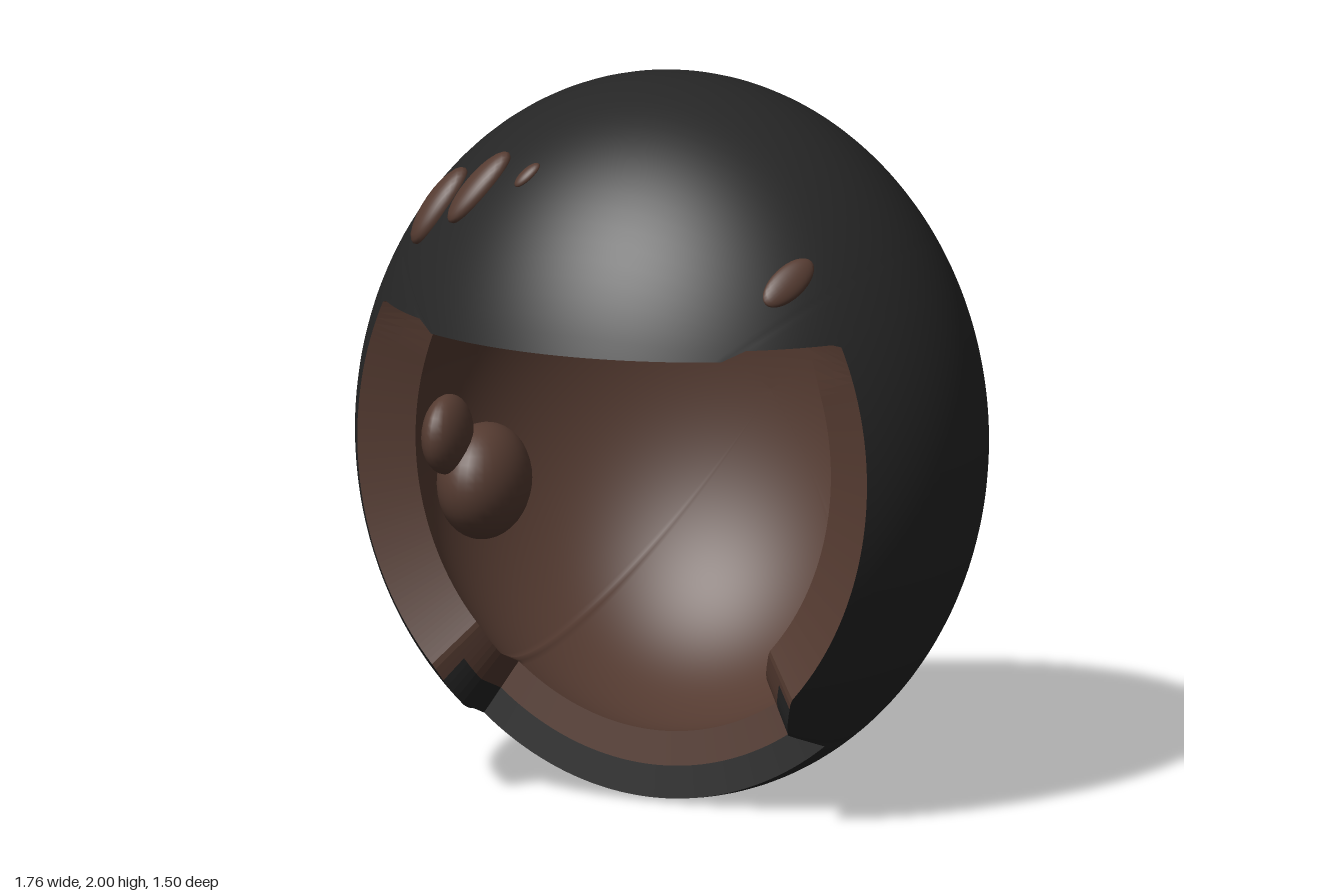
import * as THREE from 'three';

const R = new THREE.Vector3(0.88, 1, 0.777);   // shell radii
const C = new THREE.Vector3(0, 1, 0.027);      // shell centre
const N = 320, ROWS = 48;
const MID = 0.91, INNER = 0.815;               // wall layers, as fractions of the shell

// unit-sphere direction, theta measured from the front
const dir = (t, p) => new THREE.Vector3(Math.sin(t) * Math.cos(p), Math.sin(t) * Math.sin(p), Math.cos(t));
const place = (u) => u.clone().multiply(R).add(C);

// is this point of the shell inside the face opening?
function isOpen(u) {
  const { x, y, z } = place(u);
  const top = Math.abs(x) < 0.45 ? 1.36 : 1.388;
  let cut = 0.41;
  if (y < 0.23) cut = 0.14;
  else if (y < 0.38) cut = 0.25 + 0.16 * Math.sqrt((y - 0.23) / 0.15);
  return y < top && z > cut;
}

// edge of the opening, one unit vector for each column
function openingEdge() {
  const edge = [];
  for (let j = 0; j < N; j++) {
    const p = (j / N) * Math.PI * 2;
    let t = 0;
    while (isOpen(dir(t, p))) t += 0.01;
    let lo = t - 0.01, hi = t;
    for (let k = 0; k < 14; k++) {
      const m = (lo + hi) / 2;
      if (isOpen(dir(m, p))) lo = m; else hi = m;
    }
    edge.push(dir(hi, p));
  }
  return edge;
}

// edge moved into the wall: radial at the sides, level under the brow
function inset(u, s) {
  const level = THREE.MathUtils.smoothstep(u.y, 0.27, 0.355);
  const y = u.y * THREE.MathUtils.lerp(s, 1, level);
  const k = Math.sqrt((s * s - y * y) / (1 - u.y * u.y));
  return new THREE.Vector3(u.x * k, y, u.z * k);
}

// rows from the edge round to the back of the head
function domeRows(edge, s) {
  const rows = [];
  for (let i = 0; i <= ROWS; i++) {
    rows.push(edge.map((e) => {
      const u = e.clone().normalize();
      const t = Math.acos(u.z);
      return place(dir(t + (Math.PI - t) * (i / ROWS), Math.atan2(u.y, u.x)).multiplyScalar(s));
    }));
  }
  return rows;
}

// closed loops of points joined into a surface
function loft(rows, flip, keep = () => true) {
  const pos = rows.flat().flatMap((v) => [v.x, v.y, v.z]);
  const index = [];
  for (let i = 0; i < rows.length - 1; i++) {
    for (let j = 0; j < N; j++) {
      if (!keep(j)) continue;
      const k = (j + 1) % N;
      const a = i * N + j, b = (i + 1) * N + j, c = (i + 1) * N + k, d = i * N + k;
      if (flip) index.push(a, c, b, a, d, c);
      else index.push(a, b, c, a, c, d);
    }
  }
  const g = new THREE.BufferGeometry();
  g.setAttribute('position', new THREE.Float32BufferAttribute(pos, 3));
  g.setIndex(index);
  g.computeVertexNormals();
  return g;
}

function faceted(g) {
  const flat = g.toNonIndexed();
  flat.computeVertexNormals();
  return flat;
}

export function createModel() {
  const group = new THREE.Group();
  const black = new THREE.MeshStandardMaterial({ color: 0x262626, side: THREE.DoubleSide });
  black.name = 'shell black';
  const brown = new THREE.MeshStandardMaterial({ color: 0x553b31, side: THREE.DoubleSide });
  brown.name = 'lining brown';
  const add = (name, geometry, material) => {
    const mesh = new THREE.Mesh(geometry, material);
    mesh.name = name;
    group.add(mesh);
    return mesh;
  };

  // shell and lining
  const edge = openingEdge();
  const mid = edge.map((u) => inset(u, MID));
  const inner = edge.map((u) => inset(u, INNER));
  add('outerShell', loft(domeRows(edge, 1), false), black);
  add('innerLining', loft(domeRows(inner, INNER), true), brown);

  // rim: black at the chin and brow, brown elsewhere
  const outerRing = edge.map(place), midRing = mid.map(place), innerRing = inner.map(place);
  const isBlack = (j) => edge[j].y < -0.66 || (edge[j].y > 0.3 && Math.abs(edge[j].x * R.x) < 0.45);
  add('rimBlack', faceted(loft([outerRing, midRing], true, isBlack)), black);
  add('rimBrown', faceted(loft([outerRing, midRing], true, (j) => !isBlack(j))), brown);
  add('rimPadding', faceted(loft([midRing, innerRing], true)), brown);

  // ear pads
  for (const side of [-1, 1]) {
    const name = side > 0 ? 'left' : 'right';
    const pad = add(name + 'EarPad', new THREE.SphereGeometry(1, 32, 20), brown);
    pad.scale.set(0.12, 0.16, 0.17);
    pad.position.set(side * 0.6, 0.8, -0.05);
    const small = add(name + 'UpperPad', new THREE.SphereGeometry(1, 24, 16), brown);
    small.scale.set(0.06, 0.11, 0.11);
    small.position.set(side * 0.65, 0.95, 0.08);
  }

  // scuffs on the brow: x, y, half length, half width, thickness
  const scuffs = [
    [-0.535, 1.655, 0.125, 0.055, 0.04],
    [-0.39, 1.73, 0.125, 0.05, 0.035],
    [-0.23, 1.785, 0.045, 0.022, 0.015],
    [0.55, 1.555, 0.095, 0.045, 0.022],
  ];
  for (const [x, y, length, width, depth] of scuffs) {
    const ux = x / R.x, uy = y - C.y;
    const u = new THREE.Vector3(ux, uy, Math.sqrt(1 - ux * ux - uy * uy));
    const n = u.clone().divide(R).normalize();
    const t = new THREE.Vector3(0.65, 0.75, -0.55);
    t.addScaledVector(n, -t.dot(n)).normalize();
    const b = n.clone().cross(t);
    const scuff = add('scuff', new THREE.SphereGeometry(1, 24, 16), brown);
    scuff.quaternion.setFromRotationMatrix(new THREE.Matrix4().makeBasis(t, b, n));
    scuff.scale.set(length, width, depth);
    scuff.position.copy(place(u));
  }
  return group;
}
